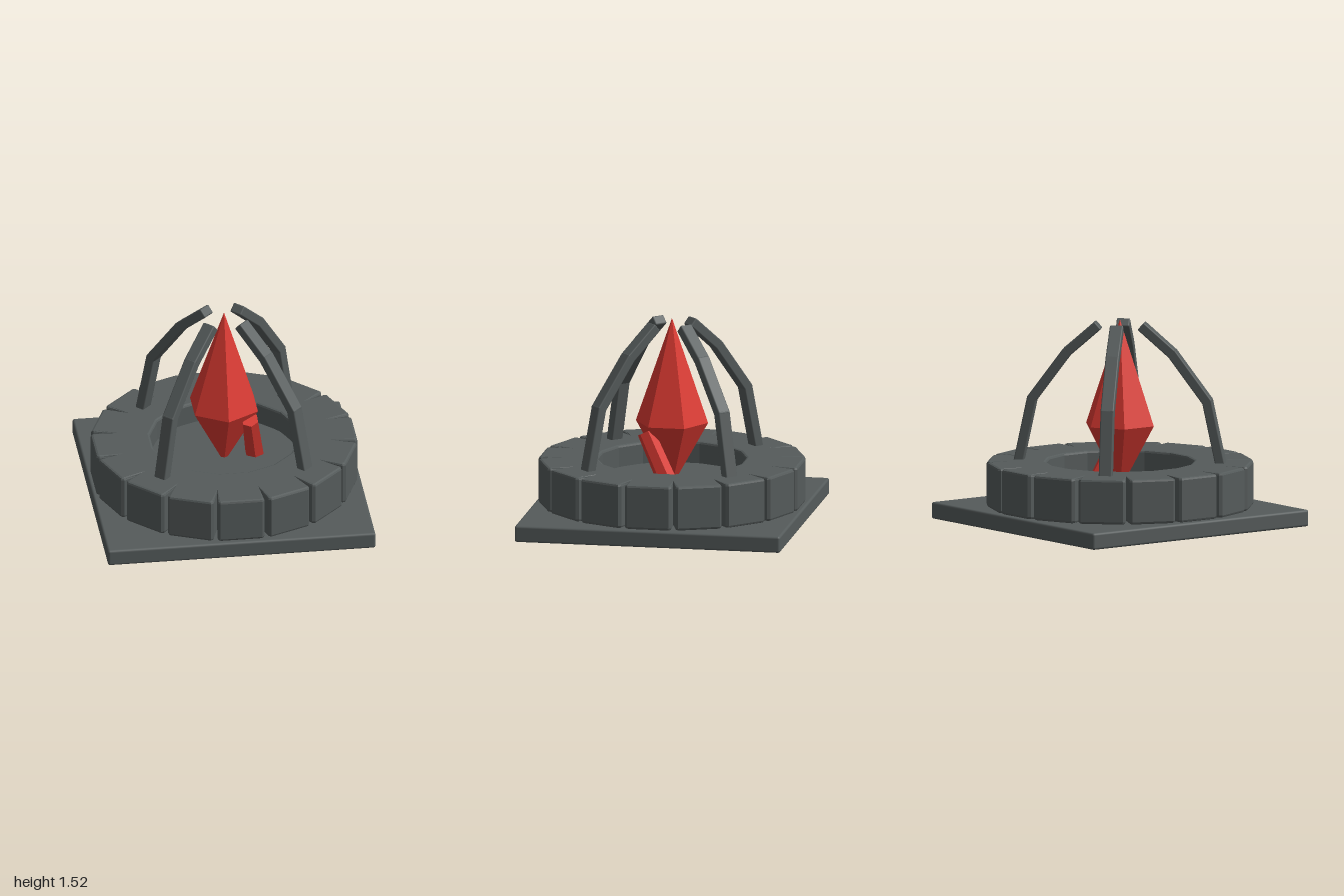
import * as THREE from 'three';
import { RoundedBoxGeometry } from 'three/addons/geometries/RoundedBoxGeometry.js';

const stone = new THREE.MeshStandardMaterial({ color: 0x555b5b });
stone.name = 'grey stone';
const ruby = new THREE.MeshStandardMaterial({ color: 0xdc3a32 });
ruby.name = 'red crystal';

function part(name, geometry, material, parent) {
  const mesh = new THREE.Mesh(geometry, material);
  mesh.name = name;
  parent.add(mesh);
  return mesh;
}

// Gives every face its own flat normal
function faceted(geometry) {
  const flat = geometry.toNonIndexed();
  flat.computeVertexNormals();
  return flat;
}

// Ring outline: sixteen blocks parted by wedge notches, with a 16-sided hole
function ringGeometry() {
  const count = 16, step = (Math.PI * 2) / count;
  const outline = [], hole = [];
  for (let i = 0; i < count; i++) {
    const a = i * step;
    const at = (r, t) => new THREE.Vector2(
      r * Math.cos(a) - t * Math.sin(a), r * Math.sin(a) + t * Math.cos(a));
    outline.push(at(0.955, -0.175), at(0.975, -0.158), at(0.975, 0.158), at(0.955, 0.175));
    const n = a + step / 2;
    outline.push(new THREE.Vector2(0.81 * Math.cos(n), 0.81 * Math.sin(n)));
    hole.push(new THREE.Vector2(0.55 * Math.cos(n), 0.55 * Math.sin(n)));
  }
  const shape = new THREE.Shape(outline);
  shape.holes.push(new THREE.Path(hole));
  const bevel = 0.018;
  const geometry = new THREE.ExtrudeGeometry(shape, {
    depth: 0.335 - 2 * bevel, bevelEnabled: true, bevelSize: bevel,
    bevelThickness: bevel, bevelOffset: -bevel, bevelSegments: 2,
  });
  geometry.rotateX(-Math.PI / 2);
  geometry.translate(0, 0.128 + bevel, 0);
  return geometry;
}

export function createModel() {
  const model = new THREE.Group();
  model.name = 'crystalShrine';

  // Square slab, block ring and sunken floor
  part('baseSlab', new RoundedBoxGeometry(2, 0.125, 2, 2, 0.018), stone, model)
    .position.y = 0.0625;
  part('blockRing', ringGeometry(), stone, model);
  part('pitFloor', new THREE.CylinderGeometry(0.545, 0.545, 0.2, 32), stone, model)
    .position.y = 0.2;

  // Four curved arms, each of three straight segments (radius, height)
  const joints = [[0.765, 0.4], [0.655, 0.92], [0.395, 1.272], [0.16, 1.478]]
    .map(([r, y]) => new THREE.Vector2(r, y));
  for (let i = 0; i < 4; i++) {
    const arm = new THREE.Group();
    arm.name = 'arm';
    arm.rotation.y = Math.PI / 4 + (i * Math.PI) / 2;
    for (let j = 0; j < 3; j++) {
      const a = joints[j], b = joints[j + 1];
      const extra = j < 2 ? 0.035 : 0;
      const box = new RoundedBoxGeometry(0.073, a.distanceTo(b) + extra, 0.1, 2, 0.01);
      const segment = part('armSegment', box, stone, arm);
      segment.position.set((a.x + b.x) / 2, (a.y + b.y) / 2, 0);
      segment.rotation.z = Math.atan2(a.x - b.x, b.y - a.y);
    }
    model.add(arm);
  }

  // Large six-sided crystal
  const crystal = new THREE.Group();
  crystal.name = 'crystal';
  part('crystalTop', faceted(new THREE.CylinderGeometry(0, 0.272, 0.785, 6, 1, true)), ruby, crystal)
    .position.y = 1.1275;
  part('crystalBottom', faceted(new THREE.CylinderGeometry(0.272, 0.025, 0.445, 6, 1, true)), ruby, crystal)
    .position.y = 0.5125;
  model.add(crystal);

  // Small shard leaning against it
  const foot = new THREE.Vector3(0.235, 0.27, -0.035);
  const tip = new THREE.Vector3(0.172, 0.685, 0.165);
  const shard = part('shard',
    faceted(new THREE.CylinderGeometry(0.065, 0.075, foot.distanceTo(tip), 6)), ruby, model);
  shard.position.addVectors(foot, tip).multiplyScalar(0.5);
  shard.quaternion.setFromUnitVectors(
    new THREE.Vector3(0, 1, 0), tip.clone().sub(foot).normalize());

  return model;
}
